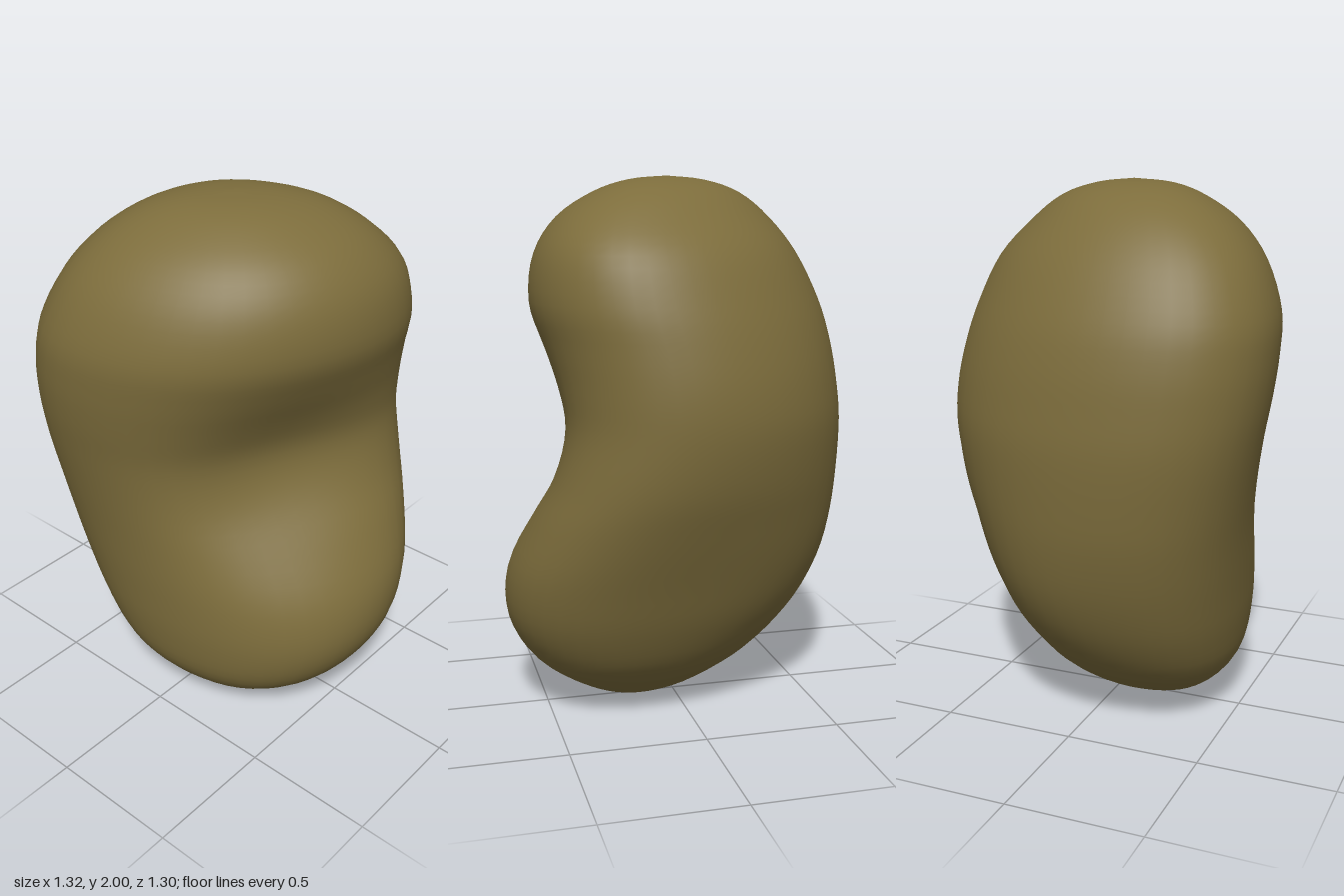
import * as THREE from 'three';
import { mergeVertices } from 'three/addons/utils/BufferGeometryUtils.js';

// Cross-section extents from bottom to top: y, xMin, xMax, zMin, zMax
const SECTIONS = [
  [0, 0.13, 0.13, 0.08, 0.08],
  [0.02, -0.02, 0.26, -0.06, 0.24],
  [0.08, -0.18, 0.40, -0.17, 0.37],
  [0.20, -0.35, 0.555, -0.30, 0.475],
  [0.36, -0.475, 0.645, -0.39, 0.515],
  [0.55, -0.565, 0.655, -0.465, 0.535],
  [0.75, -0.625, 0.595, -0.545, 0.555],
  [0.92, -0.65, 0.53, -0.605, 0.58],
  [1.10, -0.66, 0.49, -0.64, 0.612],
  [1.25, -0.65, 0.50, -0.645, 0.638],
  [1.40, -0.63, 0.53, -0.625, 0.652],
  [1.55, -0.59, 0.56, -0.585, 0.645],
  [1.72, -0.505, 0.53, -0.505, 0.58],
  [1.85, -0.40, 0.44, -0.375, 0.475],
  [1.94, -0.28, 0.30, -0.245, 0.34],
  [1.985, -0.145, 0.16, -0.10, 0.21],
  [2.0, 0.01, 0.01, 0.05, 0.05],
];

const SIDES = 48;
const LEVELS = 64;
const SQUARENESS = 0.04; // fills out the diagonals of each oval
const DENT = { angle: 0.45, y: 1.04, height: 0.34, depth: 0.14 };
// Local swelling (or slimming) of the sides
const BULGES = [
  { angle: -0.75 * Math.PI, y: 0.5, height: 0.3, amount: 0.1 },
  { angle: -0.25 * Math.PI, y: 1.4, height: 0.45, amount: -0.065 },
];

const spline = (points) => new THREE.CatmullRomCurve3(points, false, 'catmullrom', 0.5);
const falloff = (y, { y: middle, height }) => Math.exp(-(((y - middle) / height) ** 2));

function beanGeometry() {
  const centres = spline(SECTIONS.map(([y, x0, x1, z0, z1]) =>
    new THREE.Vector3((x0 + x1) / 2, y, (z0 + z1) / 2)));
  const radii = spline(SECTIONS.map(([y, x0, x1, z0, z1]) =>
    new THREE.Vector3((x1 - x0) / 2, y, (z1 - z0) / 2)));
  const nx = Math.cos(DENT.angle), nz = Math.sin(DENT.angle);
  const positions = [], index = [];

  for (let i = 0; i <= LEVELS; i++) {
    const c = centres.getPoint(i / LEVELS);
    const r = radii.getPoint(i / LEVELS);
    // Ovals lean toward the -x +z diagonal, more so higher up
    const skew = 0.15 + 0.065 * c.y;
    // Hollow of the bean, strongest at mid height
    const hollow = DENT.depth * falloff(c.y, DENT);
    for (let j = 0; j < SIDES; j++) {
      const t = (j / SIDES) * Math.PI * 2;
      let swell = 1 + SQUARENESS * Math.sin(2 * t) ** 2;
      for (const bulge of BULGES) {
        swell += bulge.amount * falloff(c.y, bulge) * Math.max(0, Math.cos(t - bulge.angle)) ** 5;
      }
      const dx = r.x * swell * Math.cos(t);
      const dz = r.z * swell * Math.sin(t - skew);
      const facing = Math.max(0, (dx * nx + dz * nz) / (Math.hypot(dx, dz) || 1));
      const push = hollow * facing ** 4;
      positions.push(c.x + dx - nx * push, c.y, c.z + dz - nz * push);
      if (i < LEVELS) {
        const a = i * SIDES + j, b = i * SIDES + (j + 1) % SIDES;
        index.push(a, a + SIDES, b, b, a + SIDES, b + SIDES);
      }
    }
  }

  const geometry = new THREE.BufferGeometry();
  geometry.setAttribute('position', new THREE.Float32BufferAttribute(positions, 3));
  geometry.setIndex(index);
  // Fuse the two poles so the shading stays smooth
  const merged = mergeVertices(geometry, 1e-5);
  merged.computeVertexNormals();
  return merged;
}

export function createModel() {
  const group = new THREE.Group();
  group.name = 'bean';
  const body = new THREE.Mesh(beanGeometry(), new THREE.MeshStandardMaterial({ color: 0x7d6d3c }));
  body.name = 'beanBody';
  group.add(body);
  return group;
}
